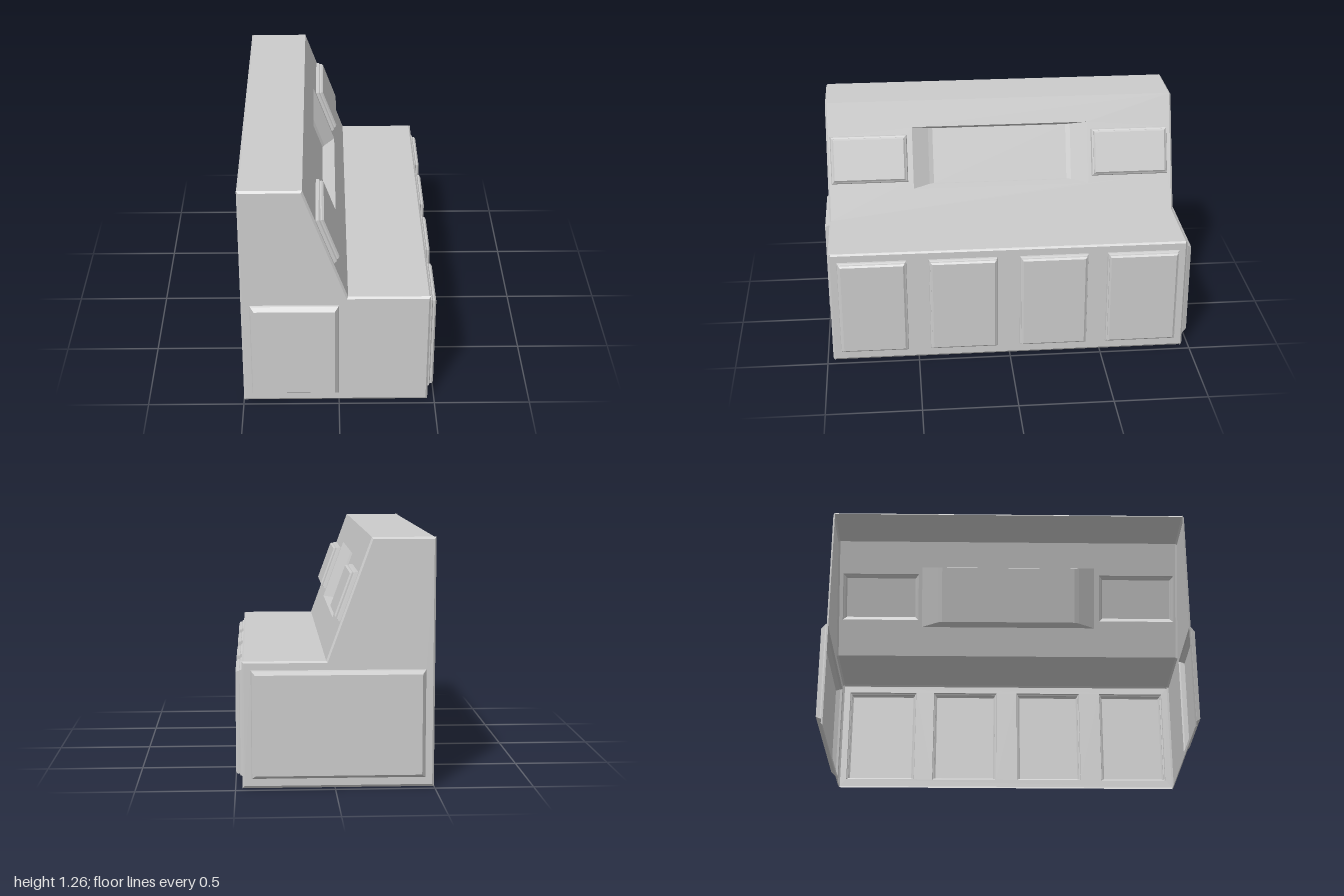
import * as THREE from 'three';

const V = (x, y, z) => new THREE.Vector3(x, y, z);
const material = new THREE.MeshStandardMaterial({
  color: 0xcccccc, flatShading: true, side: THREE.DoubleSide,
});

// Joins equal-length loops of [x, y, z] points with quads, optionally capping the last (four-cornered) loop.
function loft(loops, { closed = true, cap = false } = {}) {
  const pos = [];
  const quad = (a, b, c, d) => pos.push(...a, ...b, ...c, ...a, ...c, ...d);
  for (let k = 0; k < loops.length - 1; k++) {
    const a = loops[k], b = loops[k + 1], n = a.length;
    for (let i = 0; i < (closed ? n : n - 1); i++) {
      const j = (i + 1) % n;
      quad(a[i], a[j], b[j], b[i]);
    }
  }
  if (cap) quad(...loops[loops.length - 1]);
  const geo = new THREE.BufferGeometry();
  geo.setAttribute('position', new THREE.Float32BufferAttribute(pos, 3));
  geo.computeVertexNormals();
  return geo;
}

// Local frame of a wall: u across, v up, third axis outward.
function frame(origin, u, v) {
  return new THREE.Matrix4().makeBasis(u, v, u.clone().cross(v)).setPosition(origin);
}

const rect = (u0, u1, v0, v1, h = 0) => [[u0, v0, h], [u1, v0, h], [u1, v1, h], [u0, v1, h]];

// A pressed-out panel: rectangles that shrink while rising from the wall.
function panel(u0, u1, v0, v1, steps) {
  return steps.map(([inset, h]) => rect(u0 + inset, u1 - inset, v0 + inset, v1 - inset, h));
}

export function createModel() {
  const model = new THREE.Group();
  model.name = 'console';

  const add = (parent, name, geo) => {
    const mesh = new THREE.Mesh(geo, material);
    mesh.name = name;
    parent.add(mesh);
  };

  // A flat wall, opened where pressed features are fitted
  const wall = (name, matrix, outline, features = []) => {
    const group = new THREE.Group();
    group.name = name;
    const shape = new THREE.Shape(outline.map(([u, v]) => new THREE.Vector2(u, v)));
    for (const f of features) {
      shape.holes.push(new THREE.Path(f.loops[0].map(([u, v]) => new THREE.Vector2(u, v))));
      add(group, f.name, loft(f.loops, { cap: true }).applyMatrix4(matrix));
    }
    add(group, name + 'Sheet', new THREE.ShapeGeometry(shape).applyMatrix4(matrix));
    model.add(group);
  };

  const zFront = 0.97, zBack = -0.965, bevel = 0.01;
  const u0 = -zFront + bevel, u1 = -zBack - bevel;
  const profile = [[-0.5, 0], [-0.5, 1.26], [-0.18, 1.26], [0.045, 0.645], [0.465, 0.645], [0.465, 0]];
  const inset = [[-0.49, 0.013], [-0.49, 1.25], [-0.187, 1.25], [0.038, 0.636], [0.455, 0.636], [0.455, 0.013]];

  // Side walls, each with one large panel
  const frustum = [[0, 0], [0.004, 0.008], [0.022, 0.03]];
  wall('frontSide', frame(V(0, 0, zFront), V(1, 0, 0), V(0, 1, 0)), inset, [
    { name: 'sidePanel', loops: panel(-0.455, 0, 0.05, 0.6, frustum) },
  ]);
  const backFrustum = [[0, 0], [0.004, 0.012], [0.02, 0.035]];
  wall('rearSide', frame(V(0, 0, zBack), V(-1, 0, 0), V(0, 1, 0)),
    inset.map(([x, y]) => [-x, y]), [
      { name: 'widePanel', loops: panel(-0.42, 0.455, 0.05, 0.6, backFrustum) },
    ]);

  // Bevels around the side walls
  for (const [z, s] of [[zFront, 1], [zBack, -1]]) {
    const outer = profile.map(([x, y]) => [x, y, z - s * bevel]);
    const inner = inset.map(([x, y]) => [x, y, z]);
    add(model, 'sideBevel', loft(s > 0 ? [inner, outer] : [outer, inner]));
  }

  // Door wall with four stepped panels
  const across = V(0, 0, -1);
  const doorSteps = [[0, 0], [0.002, 0.01], [0.009, 0.014], [0.009, 0.024], [0.018, 0.032]];
  const doors = [[-0.925, -0.555], [-0.435, -0.065], [0.055, 0.425], [0.53, 0.92]];
  wall('doorWall', frame(V(0.465, 0, 0), across, V(0, 1, 0)), rect(u0, u1, 0.012, 0.636),
    doors.map(([a, b]) => ({ name: 'doorPanel', loops: panel(a, b, 0.055, 0.598, doorSteps) })));

  // Sloped face with a sunken screen and two raised panels
  const up = V(-0.225, 0.615, 0);
  const slopeLength = up.length();
  up.normalize();
  const smallSteps = [[0, 0], [0.004, 0.015], [0.012, 0.02], [0.012, 0.028], [0.02, 0.036]];
  wall('slopedFace', frame(V(0.045, 0.645, 0), across, up), rect(u0, u1, 0, slopeLength), [
    {
      name: 'screenRecess',
      loops: [
        rect(-0.495, 0.485, 0.165, 0.508),
        rect(-0.405, 0.395, 0.186, 0.499, -0.054),
        rect(-0.38, 0.37, 0.189, 0.497, -0.064),
      ],
    },
    { name: 'controlPanel', loops: panel(-0.95, -0.525, 0.205, 0.468, smallSteps) },
    { name: 'controlPanel', loops: panel(0.505, 0.935, 0.205, 0.468, smallSteps) },
  ]);

  // Horizontal surfaces
  wall('worktop', frame(V(0, 0.645, 0), across, V(-1, 0, 0)), rect(u0, u1, -0.456, -0.045));
  wall('topSurface', frame(V(0, 1.26, 0), across, V(-1, 0, 0)), rect(u0, u1, 0.18, 0.49));

  // Narrow bevels along the long edges
  const strip = (name, path) => add(model, name, loft(
    [-u0, -u1].map((z) => path.map(([x, y]) => [x, y, z])), { closed: false }));
  strip('worktopBevel', [[0.456, 0.645], [0.465, 0.636]]);
  strip('topRearBevel', [[-0.5, 1.25], [-0.49, 1.26]]);
  strip('doorWallLip', [[0.465, 0.012], [0.455, 0]]);

  return model;
}
